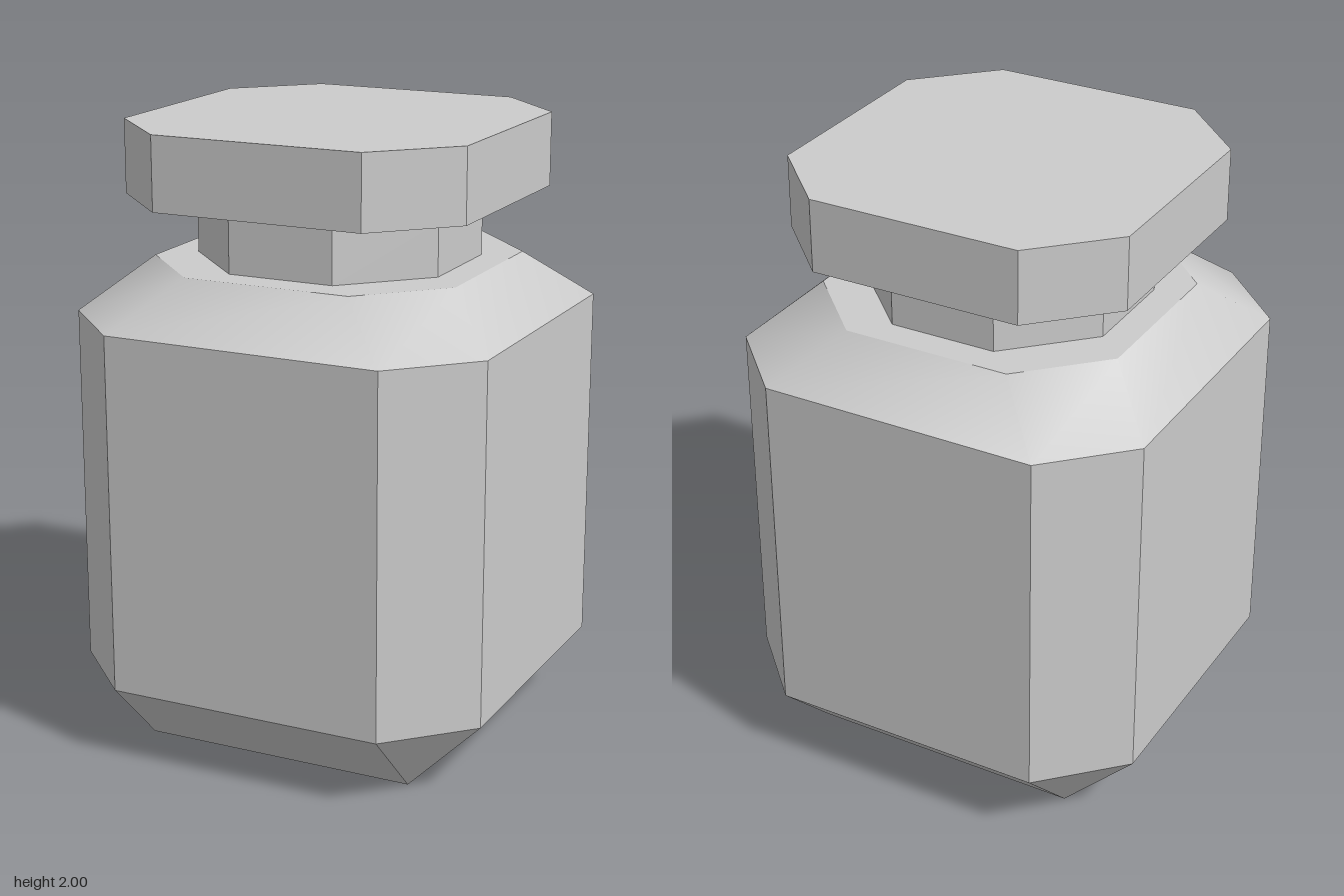
import * as THREE from 'three';
import { toCreasedNormals } from 'three/addons/utils/BufferGeometryUtils.js';

// Chamfered square at height y: half is the half width, flat the half length of the straight sides
function ring([y, half, flat]) {
  return [[flat, half], [half, flat], [half, -flat], [flat, -half],
    [-flat, -half], [-half, -flat], [-half, flat], [-flat, half]]
    .map(([x, z]) => new THREE.Vector3(x, y, z));
}

// Closed skin through a stack of rings, listed from bottom to top
function loft(name, sections, material) {
  const rings = sections.map(ring);
  const pos = [];
  const tri = (a, b, c) => {
    const area = b.clone().sub(a).cross(c.clone().sub(a)).length();
    if (area > 1e-7) for (const p of [a, b, c]) pos.push(p.x, p.y, p.z);
  };
  for (let r = 0; r < rings.length - 1; r++) {
    const lo = rings[r], hi = rings[r + 1];
    for (let i = 0; i < 8; i++) {
      const j = (i + 1) % 8;
      tri(lo[i], lo[j], hi[j]);
      tri(lo[i], hi[j], hi[i]);
    }
  }
  // End faces
  const bottom = rings[0], top = rings[rings.length - 1];
  for (let i = 1; i < 7; i++) {
    tri(bottom[0], bottom[i + 1], bottom[i]);
    tri(top[0], top[i], top[i + 1]);
  }
  const geometry = new THREE.BufferGeometry();
  geometry.setAttribute('position', new THREE.Float32BufferAttribute(pos, 3));
  const mesh = new THREE.Mesh(toCreasedNormals(geometry, 0.54), material);
  mesh.name = name;
  return mesh;
}

export function createModel() {
  const group = new THREE.Group();
  group.name = 'bottle';
  const material = new THREE.MeshStandardMaterial({ color: 0xcccccc });

  group.add(
    // Body with a square foot, chamfered corners and a sloping shoulder
    loft('body', [[0, 0.455, 0.455], [0.24, 0.695, 0.455], [1.4, 0.695, 0.455], [1.56, 0.515, 0.275]], material),
    // Neck
    loft('neck', [[1.56, 0.415, 0.175], [1.73, 0.415, 0.175]], material),
    // Plug joining neck and stopper
    loft('plug', [[1.7, 0.32, 0.09], [1.75, 0.32, 0.09]], material),
    // Stopper with a shallow tapered underside
    loft('stopper', [[1.735, 0.32, 0.09], [1.765, 0.575, 0.345], [2, 0.575, 0.345]], material),
  );
  return group;
}
